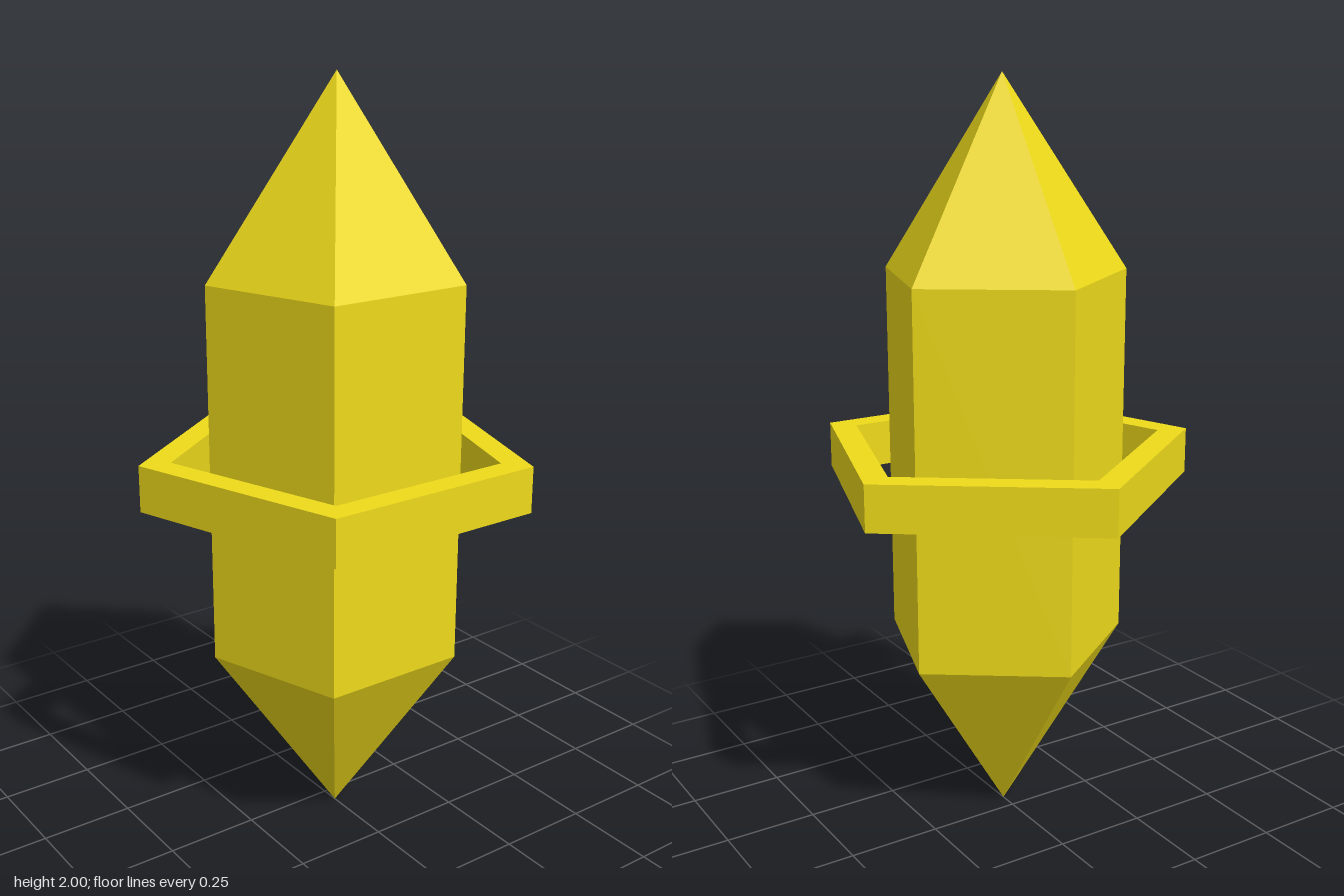
import * as THREE from 'three';

// Five-sided solid swept from [radius, height] points, with one corner towards the back
function pentagonal(name, profile, material) {
  const points = profile.map(([r, y]) => new THREE.Vector2(r, y));
  const geometry = new THREE.LatheGeometry(points, 5, Math.PI).toNonIndexed();
  geometry.computeVertexNormals();
  const mesh = new THREE.Mesh(geometry, material);
  mesh.name = name;
  return mesh;
}

export function createModel() {
  const model = new THREE.Group();
  model.name = 'ringedCrystal';
  const yellow = new THREE.MeshStandardMaterial({ color: 0xeeda1a, flatShading: true });

  // Prism with a point at each end, slightly narrower in depth
  const radius = 0.336;
  const crystal = pentagonal('crystal', [[0, 0.005], [radius, 0.503], [radius, 1.502], [0, 2]], yellow);
  crystal.scale.z = 0.975;

  // Floating band around the middle
  const [inner, outer, low, high] = [0.434, 0.516, 0.935, 1.058];
  const ring = pentagonal('ring', [[outer, low], [outer, high], [inner, high], [inner, low], [outer, low]], yellow);

  // A pentagon's centre lies off the middle of its depth
  for (const part of [crystal, ring]) {
    part.position.z = 0.048;
    model.add(part);
  }
  return model;
}
